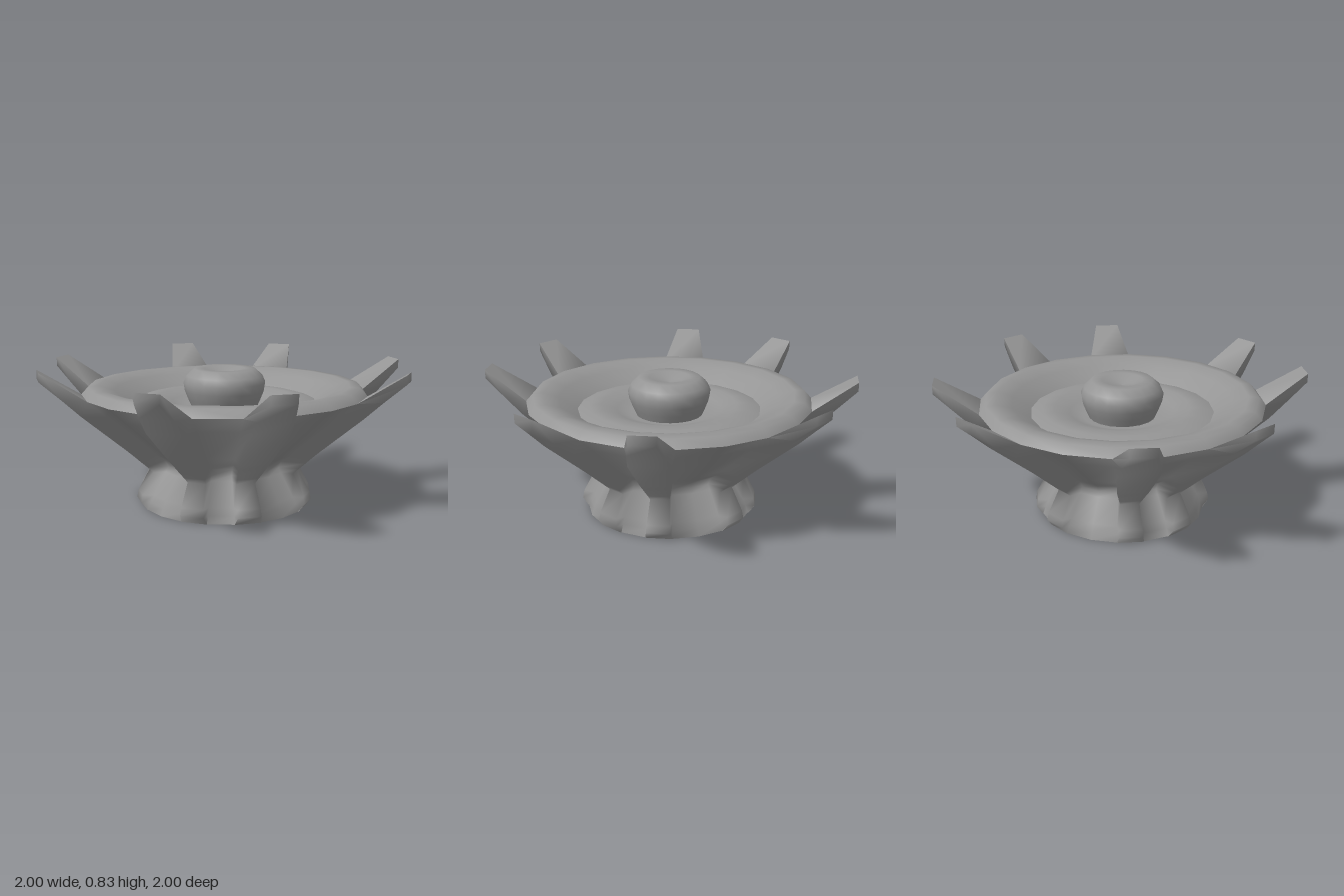
import * as THREE from 'three';
import { toCreasedNormals } from 'three/addons/utils/BufferGeometryUtils.js';

const SIDES = 20;
const STEP = 2 * Math.PI / SIDES;
const HALF = STEP / 2;
const FIN_SIDES = [1, 3]; // sides carrying a fin, within each quarter of five

export function createModel() {
  const group = new THREE.Group();
  const material = new THREE.MeshStandardMaterial({ color: 0x959595 });

  const add = (name, geometry) => {
    const mesh = new THREE.Mesh(geometry, material);
    mesh.name = name;
    group.add(mesh);
  };
  // Each profile is turned separately, so edges between parts stay sharp
  const turn = (name, profile) =>
    add(name, new THREE.LatheGeometry(profile.map(([r, y]) => new THREE.Vector2(r, y)), SIDES));

  turn('underside', [[0, 0], [0.49, 0]]);
  add('finnedShell', shellGeometry());
  turn('bowlRim', [[0.84, 0.67], [0.8, 0.715], [0.74, 0.72], [0.65, 0.69], [0.54, 0.62]]);
  turn('bowlFloor', [[0.54, 0.62], [0.47, 0.642], [0.4, 0.645], [0.31, 0.618], [0.23, 0.59], [0, 0.585]]);
  turn('knob', [[0.195, 0.585], [0.215, 0.63], [0.235, 0.68], [0.243, 0.73], [0.225, 0.77],
    [0.18, 0.81], [0.12, 0.81], [0.07, 0.785], [0, 0.775]]);
  return group;
}

// Foot, neck and outside of the bowl, with eight fins drawn out of its sides
function shellGeometry() {
  // wall radius, wall height, then the fin's outer distance, height and half width
  const stations = [
    [0.49, 0, 0.488, 0, 0.077],
    [0.475, 0.045, 0.522, 0.045, 0.07],
    [0.457, 0.085, 0.514, 0.09, 0.066],
    [0.378, 0.22, 0.445, 0.22, 0.055],
    [0.362, 0.25, 0.483, 0.255, 0.062],
    [0.38, 0.29, 0.525, 0.293, 0.071],
    [0.44, 0.33, 0.565, 0.33, 0.079],
    [0.495, 0.377, 0.61, 0.37, 0.088],
    [0.73, 0.577, 0.86, 0.58, 0.113],
    [0.84, 0.67, 0.97, 0.68, 0.098],
  ];
  const positions = [];
  const quad = (...corners) => {
    for (const i of [0, 1, 2, 0, 2, 3]) positions.push(...corners[i]);
  };
  for (let side = 0; side < SIDES; side++) {
    const angle = (side + 0.5) * STEP;
    const sin = Math.sin(angle), cos = Math.cos(angle);
    // across the side, height, distance from the axis
    const point = (v, y, d) => [d * sin + v * cos, y, d * cos - v * sin];
    const hasFin = FIN_SIDES.includes(side % 5);

    const sections = stations.map(([r, y, outD, outY, outW]) => {
      const w = r * Math.sin(HALF), d = r * Math.cos(HALF);
      return hasFin
        ? [point(-w, y, d), point(-outW, outY, outD), point(outW, outY, outD), point(w, y, d)]
        : [point(-w, y, d), point(w, y, d)];
    });
    // raised fin tip
    if (hasFin) {
      sections.push([point(-0.073, 0.833, 1.086), point(-0.07, 0.78, 1.086),
        point(0.07, 0.78, 1.086), point(0.073, 0.833, 1.086)]);
    }
    for (let i = 0; i < sections.length - 1; i++) {
      const low = sections[i], high = sections[i + 1];
      for (let j = 0; j < low.length - 1; j++) quad(low[j], low[j + 1], high[j + 1], high[j]);
    }
    // top face beyond the rim, and end face
    if (hasFin) {
      const [rim, tip] = sections.slice(-2);
      quad(rim[3], rim[0], tip[0], tip[3]);
      quad(tip[1], tip[2], tip[3], tip[0]);
    }
  }
  const geometry = new THREE.BufferGeometry();
  geometry.setAttribute('position', new THREE.Float32BufferAttribute(positions, 3));
  // a wide crease angle rounds the shading between wall and fins
  return toCreasedNormals(geometry, 1.7);
}
